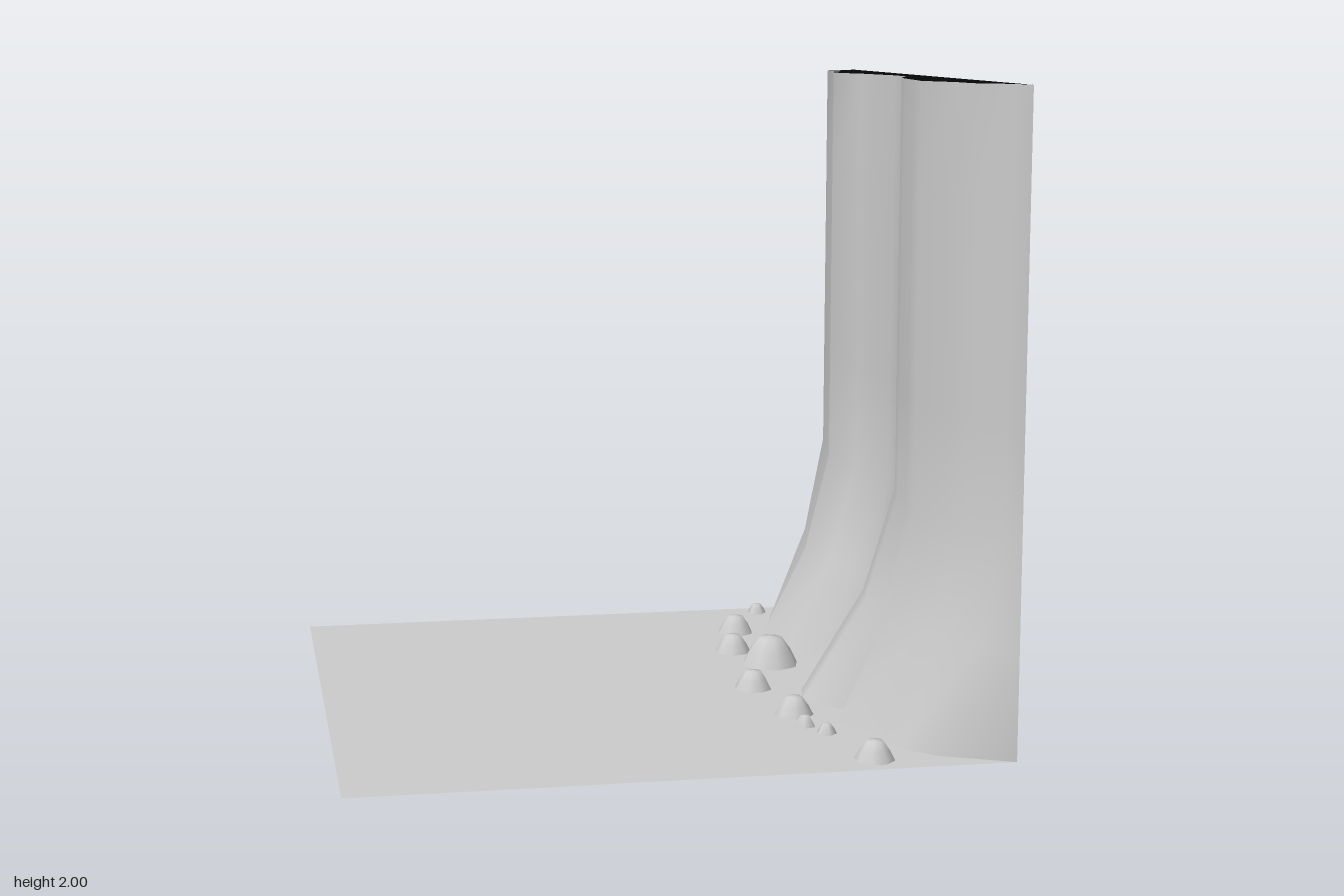
import * as THREE from 'three';

const grey = new THREE.MeshStandardMaterial({ color: 0xcccccc, side: THREE.DoubleSide });
const black = new THREE.MeshStandardMaterial({ color: 0x050505, side: THREE.DoubleSide });

// Cliff columns: [foot z, foot x, rim z, rim x]
const columns = [
  [-1, 1, -1, 1], [-0.91, 0.79, -0.92, 0.975], [-0.83, 0.67, -0.83, 0.866], [-0.63, 0.663, -0.63, 0.864],
  [-0.51, 0.556, -0.51, 0.805], [-0.38, 0.626, -0.38, 0.868], [-0.25, 0.722, -0.25, 0.89],
  [-0.13, 0.748, -0.13, 0.914], [0, 0.705, 0, 0.914], [0.125, 0.556, 0.13, 0.862], [0.246, 0.53, 0.257, 0.834],
  [0.374, 0.635, 0.396, 0.822], [0.503, 0.578, 0.535, 0.805], [0.684, 0.68, 0.68, 0.868],
  [0.807, 0.693, 0.81, 0.883], [0.9, 0.786, 0.9, 0.977], [1, 1, 1, 1],
];

// Rows: [height, how far the flared foot still reaches out]
const rows = [[0, 1], [1 / 3, 0.33], [2 / 3, 0], [1, 0], [4 / 3, 0], [5 / 3, 0], [2, 0]];

function cliffGeometry() {
  const positions = [], index = [], n = columns.length;
  for (const [y, flare] of rows) {
    for (const [footZ, footX, rimZ, rimX] of columns) {
      positions.push(rimX + (footX - rimX) * flare, y, rimZ + (footZ - rimZ) * flare);
    }
  }
  for (let r = 0; r < rows.length - 1; r++) {
    for (let c = 0; c < n - 1; c++) {
      const a = r * n + c, b = a + 1, d = a + n, e = d + 1;
      index.push(a, b, e, a, e, d);
    }
  }
  const geometry = new THREE.BufferGeometry();
  geometry.setAttribute('position', new THREE.Float32BufferAttribute(positions, 3));
  geometry.setIndex(index);
  geometry.computeVertexNormals();
  return geometry;
}

// Rocks: [x, z, radius, sides, turn]
const rocks = [
  [0.505, -0.66, 0.063, 8, 0.2], [0.44, -0.4, 0.062, 8, 0.5], [0.53, -0.22, 0.098, 8, 0.1],
  [0.405, 0.075, 0.062, 8, 0.3], [0.465, 0.395, 0.062, 8, 0.6], [0.59, 0.9, 0.062, 8, 0.4],
  [0.645, -0.93, 0.035, 5, 0.3], [0.47, 0.525, 0.035, 5, 0.9], [0.515, 0.615, 0.033, 5, 0.1],
];

export function createModel() {
  const model = new THREE.Group();
  const add = (name, geometry, material = grey, parent = model) => {
    const mesh = new THREE.Mesh(geometry, material);
    mesh.name = name;
    parent.add(mesh);
    return mesh;
  };

  // Flat ground tile
  add('ground', new THREE.PlaneGeometry(2, 2).rotateX(-Math.PI / 2));

  // Cliff face, open at the back
  add('cliffFace', cliffGeometry());

  // Dark cap between the rim and the tile edge
  const outline = new THREE.Shape(columns.map(([, , z, x]) => new THREE.Vector2(x, z)));
  add('cliffTop', new THREE.ShapeGeometry(outline).rotateX(Math.PI / 2), black).position.y = 2;

  // Blunt rocks scattered along the foot
  const rockGroup = new THREE.Group();
  rockGroup.name = 'rocks';
  model.add(rockGroup);
  for (const [x, z, r, sides, turn] of rocks) {
    const profile = [[1, 0], [0.74, 0.5], [0.42, 0.94], [0, 0.98]].map(([px, py]) => new THREE.Vector2(px * r, py * r));
    const rock = add('rock', new THREE.LatheGeometry(profile, sides), grey, rockGroup);
    rock.position.set(x, 0, z);
    rock.rotation.y = turn;
  }
  return model;
}
